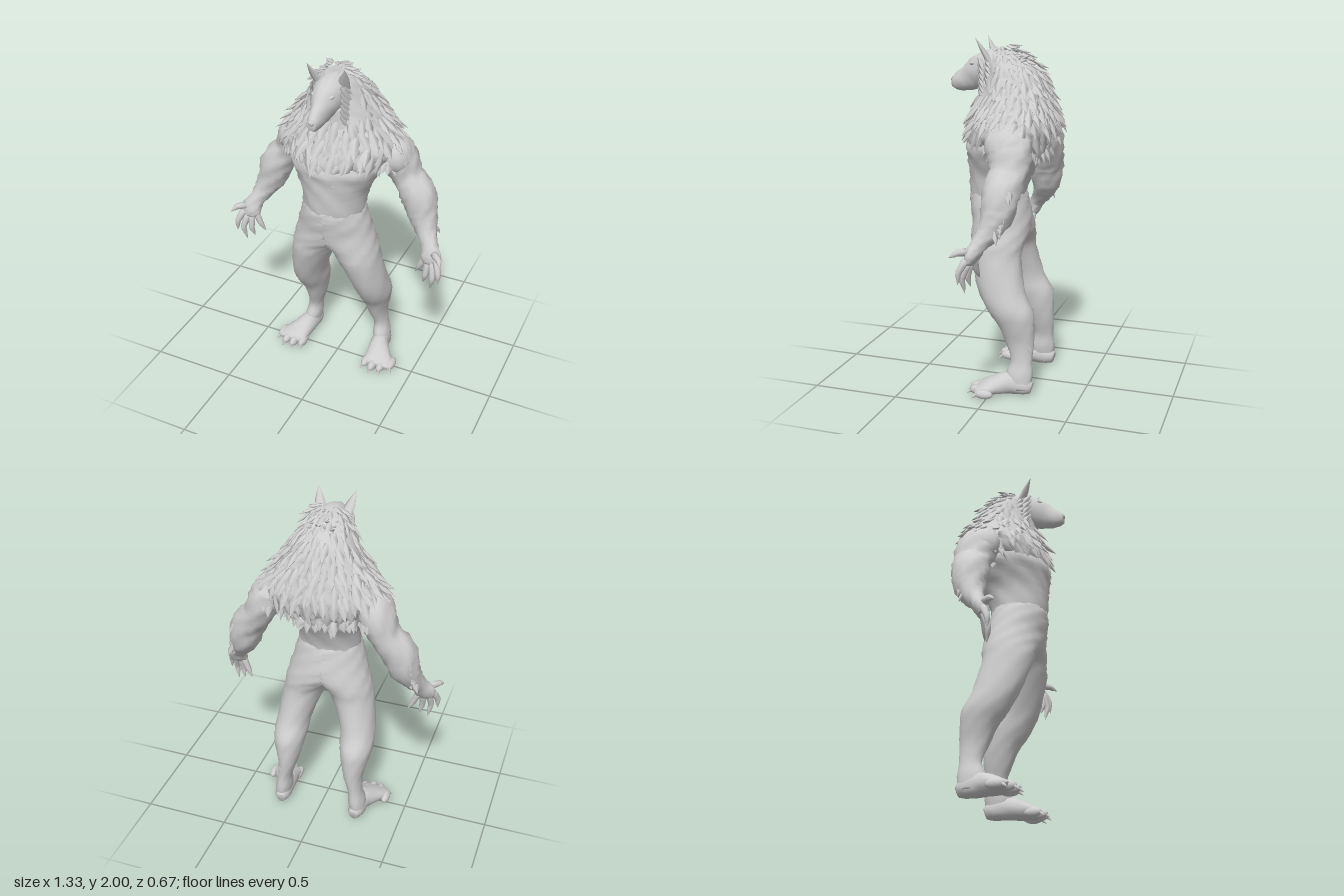
import * as THREE from 'three';
import { mergeGeometries } from 'three/addons/utils/BufferGeometryUtils.js';

const V = (x, y, z) => new THREE.Vector3(x, y, z);
const hide = new THREE.MeshStandardMaterial({ color: 0xcecece, side: THREE.DoubleSide });
hide.name = 'pale grey hide';

let seed = 7;
const rand = () => ((seed = (seed * 16807) % 2147483647) / 2147483647);

// Smoothly subdivide cross-sections [x, y, z, width, front depth, back depth]
function dense(secs, n = 4) {
  const out = [];
  const at = i => secs[Math.max(0, Math.min(secs.length - 1, i))];
  for (let i = 0; i < secs.length - 1; i++)
    for (let k = 0; k < n; k++) {
      const t = k / n;
      out.push([0, 1, 2, 3, 4, 5].map(c => {
        const [a, b, d, e] = [-1, 0, 1, 2].map(o => at(i + o)[c] ?? at(i + o)[4]);
        return b + 0.5 * t * (d - a + t * (2 * a - 5 * b + 4 * d - e + t * (3 * (b - d) + e - a)));
      }));
    }
  const last = secs[secs.length - 1];
  out.push([...last.slice(0, 5), last[5] ?? last[4]]);
  return out;
}

// Skin of rings through sections; level rings unless a reference vector is given.
// half = 1 or -1 stops the skin at the middle plane, so mirrored halves meet without a seam
function loft(secs, { ref = null, sides = 16, n = 4, lump = 0, half = 0 } = {}) {
  const rows = dense(secs, n), pos = [], idx = [];
  const centre = i => V(...rows[Math.max(0, Math.min(rows.length - 1, i))].slice(0, 3));
  let flip = false;
  rows.forEach((r, i) => {
    const t = centre(i + 1).sub(centre(i - 1)).normalize();
    const w = ref ? ref.clone().addScaledVector(t, -ref.dot(t)).normalize() : V(0, 0, 1);
    const u = ref ? V(0, 0, 0).crossVectors(w, t).normalize() : V(1, 0, 0);
    flip = V(0, 0, 0).crossVectors(u, w).dot(t) < 0;
    for (let j = 0; j < sides; j++) {
      const a = j / sides * Math.PI * 2, s = Math.sin(a);
      const k = 1 + lump * Math.sin(i * 1.9 + j * 2.3) * Math.sin(j * 1.7 - i * 0.8);
      const p = centre(i).addScaledVector(u, Math.cos(a) * r[3] * k)
        .addScaledVector(w, s * (s > 0 ? r[4] : r[5]) * k);
      if (p.x * half < 0) p.x = 0;
      pos.push(...p.toArray());
    }
  });
  const tri = (a, b, c) => flip ? idx.push(a, c, b) : idx.push(a, b, c);
  const m = rows.length - 1, base = rows.length * sides;
  pos.push(...centre(0).toArray(), ...centre(m).toArray());
  for (let j = 0; j < sides; j++) {
    const q = (j + 1) % sides;
    for (let i = 0; i < m; i++) {
      const a = i * sides;
      tri(a + j, a + q, a + sides + q);
      tri(a + j, a + sides + q, a + sides + j);
    }
    tri(base, q, j);
    tri(base + 1, m * sides + j, m * sides + q);
  }
  const g = new THREE.BufferGeometry();
  g.setAttribute('position', new THREE.Float32BufferAttribute(pos, 3));
  g.setIndex(idx);
  g.computeVertexNormals();
  if (half) {
    for (let i = 0; i < pos.length / 3; i++)
      if (Math.abs(pos[i * 3]) < 1e-5) g.attributes.normal.setX(i, 0);
    g.normalizeNormals();
  }
  return g;
}

// Flattened leaf-like cone from base to tip, its broad face towards normal
function spike(base, tip, w, thick, normal, root = 1, sides = 5) {
  const d = tip.clone().sub(base), len = d.length();
  d.normalize();
  const x = V(0, 0, 0).crossVectors(d, normal).normalize(), z = V(0, 0, 0).crossVectors(x, d);
  const g = new THREE.ConeGeometry(1, 1, sides, 2, true).translate(0, 0.5, 0);
  const p = g.attributes.position;
  for (let i = 0; i < p.count; i++) {
    const k = p.getY(i) < 0.1 ? root : p.getY(i) < 0.6 ? 1.5 : 1;
    p.setXYZ(i, p.getX(i) * k, p.getY(i), p.getZ(i) * k);
  }
  g.applyMatrix4(new THREE.Matrix4().makeBasis(
    x.multiplyScalar(w), d.multiplyScalar(len), z.multiplyScalar(thick)).setPosition(base));
  g.computeVertexNormals();
  return g;
}

const blob = (x, y, z, a, b, c, tilt = 0) =>
  new THREE.SphereGeometry(1, 12, 9).scale(a, b, c).rotateZ(tilt).translate(x, y, z);

export function createModel() {
  const model = new THREE.Group();
  const add = (name, ...geos) => {
    const mesh = new THREE.Mesh(geos.length > 1 ? mergeGeometries(geos) : geos[0], hide);
    mesh.name = name;
    model.add(mesh);
  };

  add('torso', loft([
    [0, 1.02, 0.03, 0.17, 0.15, 0.14], [0, 1.13, 0.03, 0.18, 0.173, 0.145],
    [0, 1.24, 0.02, 0.195, 0.19, 0.175], [0, 1.33, 0, 0.24, 0.214, 0.205],
    [0, 1.41, -0.02, 0.275, 0.24, 0.21], [0, 1.52, -0.04, 0.24, 0.19, 0.17]], { sides: 22, lump: 0.035 }));

  // Mane mass
  const mane = [
    [0, 1.38, -0.07, 0.21, 0.25, 0.16], [0, 1.42, -0.08, 0.285, 0.29, 0.175],
    [0, 1.5, -0.1, 0.335, 0.3, 0.185], [0, 1.58, -0.1, 0.29, 0.27, 0.175],
    [0, 1.65, -0.09, 0.24, 0.235, 0.165], [0, 1.72, -0.07, 0.195, 0.195, 0.16],
    [0, 1.8, -0.04, 0.155, 0.14, 0.155], [0, 1.88, 0, 0.108, 0.09, 0.11],
    [0, 1.925, 0.03, 0.05, 0.05, 0.06]];
  add('mane', loft(mane, { sides: 28, lump: 0.05 }));

  // Overlapping fur tufts lying along the mane, tips lifted off it
  const fur = [], rows = dense(mane, 2);
  const onMane = (r, a) => V(Math.cos(a) * r[3], r[1], r[2] + Math.sin(a) * (Math.sin(a) > 0 ? r[4] : r[5]));
  rows.forEach((r, row) => {
    const count = Math.round(9 + r[3] * 74);
    for (let k = 0; k < count; k++) {
      const a = (k + (row % 2) / 2 + rand() * 0.9) / count * Math.PI * 2;
      const s = Math.sin(a), c = Math.cos(a);
      if (s > 0.45 && r[1] > 1.69) continue;
      const p = onMane(r, a), along = onMane(r, a + 0.01).sub(p).normalize();
      const down = row > 1 ? onMane(rows[row - 1], a).sub(p).normalize() : V(0, -1, 0);
      const out = V(0, 0, 0).crossVectors(down, along).normalize();
      if (out.x * c + out.z * s < 0) out.negate();
      const big = (s > 0.3 ? 1.1 : 1) * (0.7 + Math.min(0.35, (1.95 - r[1]) * 1.4));
      const len = (0.085 + rand() * 0.06) * big * (r[1] < 1.46 ? (s > 0 ? 0.5 : 0.75) : 1);
      const dir = down.multiplyScalar(0.9).addScaledVector(out, 0.16 + rand() * 0.22)
        .addScaledVector(along, (rand() - 0.5) * 0.5);
      if (s > 0.3) dir.x -= c * 0.3;
      p.y += rand() * 0.04 - 0.005;
      fur.push(spike(p.addScaledVector(out, -0.004), p.clone().addScaledVector(dir, len),
        0.033 * big, 0.013 * big, out, 0.35));
    }
  });
  // Crest between the ears and over the forehead
  for (let i = 0; i < 32; i++) {
    const x = (i % 4 - 1.5) * 0.03, z = 0.165 - Math.floor(i / 4) * 0.035;
    const p = V(x, 1.915 - Math.abs(x) * 0.5 - Math.abs(z - 0.04) * 0.3, z);
    fur.push(spike(p, V(x * 1.6, p.y + 0.015 + rand() * 0.02, z - 0.07), 0.02, 0.012, V(0, 1, 0), 0.35));
  }

  // Head with muzzle, nose and neck
  add('head', loft([
    [0, 1.82, -0.04, 0.07, 0.08], [0, 1.835, 0.04, 0.095, 0.1], [0, 1.823, 0.11, 0.088, 0.098],
    [0, 1.793, 0.17, 0.069, 0.089], [0, 1.765, 0.225, 0.048, 0.071],
    [0, 1.746, 0.285, 0.036, 0.052], [0, 1.744, 0.318, 0.024, 0.03]],
  { ref: V(0, 1, 0), sides: 14, n: 3, lump: 0.05 }));
  add('nose', blob(0, 1.757, 0.314, 0.019, 0.016, 0.014));
  add('neck', loft([[0, 1.55, 0.03, 0.16, 0.15], [0, 1.66, 0.04, 0.13, 0.11], [0, 1.76, 0.06, 0.09, 0.09]]));

  for (const s of [1, -1]) {
    const side = s > 0 ? 'left' : 'right';
    const mir = a => a.map(([x, ...r]) => [x * s, ...r]);
    const P = (x, y, z) => V(x * s, y, z);

    add(side + 'Brow', blob(s * 0.036, 1.845, 0.178, 0.032, 0.013, 0.022, s * 0.4));
    add(side + 'Eye', blob(s * 0.043, 1.825, 0.18, 0.011, 0.006, 0.01));
    add(side + 'Ear', spike(P(0.068, 1.86, 0.07), P(0.108, 2, 0.145), 0.036, 0.018, P(0.3, 0, 1), 1, 7));

    // Cheek fur sweeping back from the face
    for (let i = 0; i < 18; i++) {
      const p = P(0.08 - (i % 3) * 0.005, 1.89 - Math.floor(i / 3) * 0.033, 0.135 - (i % 3) * 0.035);
      fur.push(spike(p, p.clone().add(P(0.035, -0.055 - rand() * 0.03, -0.045)), 0.023, 0.013, P(1, 0, 0.4), 0.35));
    }

    // Arm from shoulder to palm
    add(side + 'Arm', loft(mir([
      [0.2, 1.49, -0.1, 0.07, 0.09], [0.28, 1.465, -0.105, 0.1, 0.12], [0.325, 1.4, -0.125, 0.098, 0.12],
      [0.368, 1.31, -0.13, 0.085, 0.105], [0.438, 1.215, -0.115, 0.098, 0.102], [0.473, 1.11, -0.105, 0.088, 0.09],
      [0.515, 1.02, -0.07, 0.062, 0.062], [0.55, 0.96, -0.03, 0.048, 0.045], [0.575, 0.9, 0, 0.062, 0.038],
      [0.582, 0.86, 0.012, 0.045, 0.025]]), { ref: V(0, 0, 1), lump: 0.09 }));
    add(side + 'Shoulder', blob(s * 0.32, 1.445, -0.1, 0.082, 0.11, 0.12, s * 0.3));

    // Fingers ending in claws: knuckle, middle joint, tip
    [[0.6, 0.93, 0.02, 0.64, 0.93, 0.06, 0.662, 0.91, 0.095],
      [0.615, 0.89, 0.02, 0.64, 0.83, 0.05, 0.645, 0.76, 0.055],
      [0.59, 0.87, 0.015, 0.607, 0.79, 0.045, 0.592, 0.7, 0.035],
      [0.565, 0.87, 0.01, 0.56, 0.79, 0.03, 0.545, 0.725, 0.02],
      [0.545, 0.89, 0, 0.515, 0.82, 0, 0.485, 0.76, -0.01]].forEach(([a, b, c, d, e, f, x, y, z], i) => {
      add(`${side}Finger${i + 1}`, loft(mir([[a, b, c, 0.022, 0.022], [d, e, f, 0.018, 0.018],
        [(d + x) / 2, (e + y) / 2, (f + z) / 2, 0.012, 0.012], [x, y, z, 0.001, 0.001]]),
      { ref: V(0.1, 0.2, 1), sides: 7, n: 2 }));
    });

    // Half of the hips running into a leg with bent knee and raised hock
    add(side + 'Leg', loft(mir([
      [0, 1.14, 0.03, 0.176, 0.17, 0.14], [0, 1.11, 0.03, 0.187, 0.177, 0.152],
      [0, 1.05, 0.03, 0.206, 0.172, 0.165], [0.005, 0.98, 0.023, 0.22, 0.166, 0.172],
      [0.06, 0.91, 0.018, 0.185, 0.16, 0.168], [0.115, 0.85, 0.014, 0.145, 0.152, 0.155],
      [0.15, 0.77, 0.01, 0.123, 0.145], [0.195, 0.6, -0.035, 0.103, 0.135], [0.207, 0.49, -0.09, 0.098, 0.134],
      [0.207, 0.4, -0.127, 0.08, 0.106], [0.209, 0.3, -0.15, 0.056, 0.083], [0.225, 0.2, -0.165, 0.042, 0.062],
      [0.235, 0.12, -0.155, 0.05, 0.078], [0.245, 0.04, -0.155, 0.045, 0.07]]), { sides: 20, lump: 0.025, half: s }));

    // Foot, four toes and claws
    add(side + 'Foot', loft(mir([
      [0.235, 0.045, -0.23, 0.025, 0.03, 0.035], [0.238, 0.055, -0.19, 0.047, 0.055, 0.053],
      [0.245, 0.064, -0.1, 0.056, 0.068, 0.063], [0.27, 0.052, -0.02, 0.075, 0.052, 0.052],
      [0.292, 0.038, 0.045, 0.092, 0.032, 0.038], [0.295, 0.03, 0.075, 0.07, 0.02, 0.03]]),
    { ref: V(0, 1, 0), lump: 0.03 }));
    for (let i = 0; i < 4; i++) {
      const x = 0.218 + i * 0.051, z = [0.08, 0.1, 0.09, 0.045][i], dx = (i - 1) * 0.012;
      add(`${side}Toe${i + 1}`, blob(s * x, 0.03, z - 0.03, 0.025, 0.028, 0.055),
        spike(P(x, 0.035, z), P(x + dx, 0.003, z + 0.04), 0.012, 0.012, V(0, 1, 0)));
    }

    // Loose tufts on the shoulder, forearm and calf
    for (let i = 0; i < 44; i++) {
      const a = -1.7 + (i % 11) * 0.34 + rand() * 0.2, y = 1.53 - Math.floor(i / 11) * 0.03;
      const out = P(Math.cos(a), 0, Math.sin(a)), r = 0.06 + (1.54 - y) * 0.35;
      const p = P(0.275 + r * 0.6 * Math.cos(a), y, -0.1 + r * 1.2 * Math.sin(a));
      fur.push(spike(p, p.clone().addScaledVector(out, 0.035).add(V(0, -0.06 - rand() * 0.03, 0)),
        0.03, 0.014, out, 0.35));
    }
    for (let i = 0; i < 16; i++) {
      const arm = i < 11, y = arm ? 1.26 - i * 0.022 : 0.46 - (i - 11) * 0.05;
      const x = arm ? 0.45 + i * 0.006 + rand() * 0.05 : 0.18 + rand() * 0.06;
      const p = P(x, y, arm ? -0.175 + i * 0.006 : -0.205);
      fur.push(spike(p, p.clone().add(P(arm ? 0.025 : 0, -0.07, -0.02)), 0.026, 0.014, P(arm ? 0.6 : 0, 0, -1), 0.35));
    }
  }
  add('furTufts', ...fur);
  return model;
}
